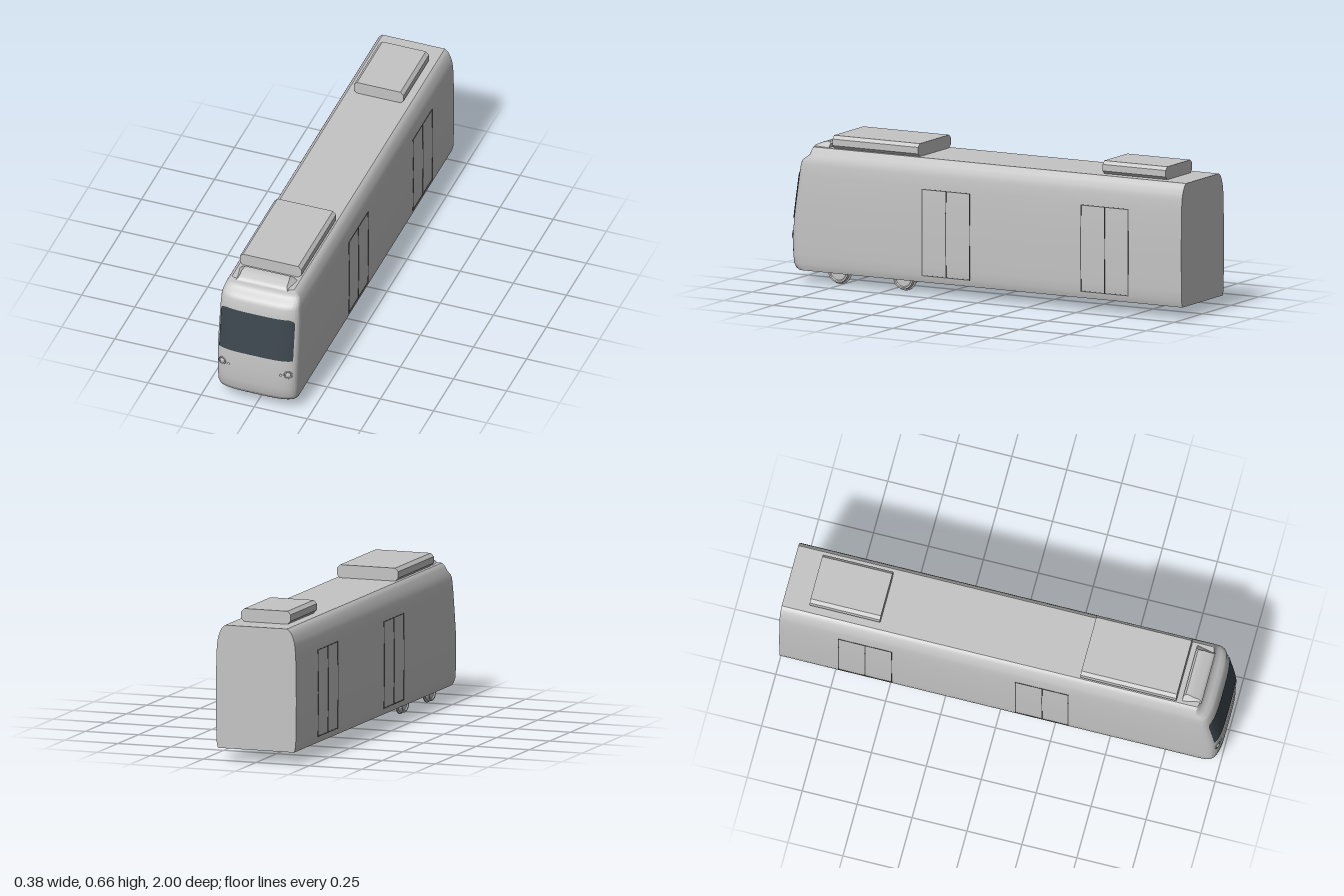
import * as THREE from 'three';
import { toCreasedNormals } from 'three/addons/utils/BufferGeometryUtils.js';

const bodyGrey = new THREE.MeshStandardMaterial({ color: 0xc4c4c4, name: 'body grey' });
const glass = new THREE.MeshStandardMaterial({ color: 0x3c464d, name: 'dark glass', side: THREE.DoubleSide });
const seam = new THREE.MeshStandardMaterial({ color: 0x5c5c5c, name: 'seam grey' });

// Body rows: height, half width, nose z, depth of the rounded nose corner
const rows = [
  [0.055, 0.180, 0.976, 0.07], [0.065, 0.183, 0.988, 0.07], [0.085, 0.187, 0.996, 0.07],
  [0.13, 0.188, 1.0, 0.07], [0.2, 0.189, 1.0, 0.07], [0.28, 0.19, 0.995, 0.07],
  [0.38, 0.189, 0.982, 0.07], [0.485, 0.187, 0.968, 0.07], [0.53, 0.183, 0.96, 0.06],
  [0.548, 0.180, 0.951, 0.055], [0.56, 0.176, 0.932, 0.045], [0.572, 0.172, 0.914, 0.035],
  [0.588, 0.164, 0.906, 0.025], [0.598, 0.156, 0.903, 0.02], [0.605, 0.146, 0.9, 0.015],
];
const POWER = 3.5;

function rowAt(y) {
  let i = 0;
  while (i < rows.length - 2 && y > rows[i + 1][0]) i++;
  const t = (y - rows[i][0]) / (rows[i + 1][0] - rows[i][0]);
  return rows[i].map((v, k) => THREE.MathUtils.lerp(v, rows[i + 1][k], t));
}

// z of the nose surface at a given x and y
function noseZ(x, y) {
  const [, w, f, d] = rowAt(y);
  const u = Math.min(1, Math.abs(x) / w);
  return f - d + d * Math.pow(1 - Math.pow(u, POWER), 1 / POWER);
}

// Horizontal outlines stacked up, with floor and roof caps
function bodyGeometry() {
  const pos = [], index = [], steps = 48, n = steps + 3;
  for (const [y, w, f, d] of rows) {
    pos.push(-w, y, -1);
    for (let i = 0; i <= steps; i++) {
      const a = Math.PI * (1 - i / steps), c = Math.cos(a), s = Math.max(0, Math.sin(a));
      pos.push(w * Math.sign(c) * Math.abs(c) ** (2 / POWER), y, f - d + d * s ** (2 / POWER));
    }
    pos.push(w, y, -1);
  }
  const floor = pos.length / 3, roof = floor + 1, last = (rows.length - 1) * n;
  pos.push(0, rows[0][0], 0, 0, rows.at(-1)[0], 0);
  for (let j = 0; j < n; j++) {
    const k = (j + 1) % n;
    for (let i = 0; i < rows.length - 1; i++) {
      const a = i * n + j, b = i * n + k;
      index.push(a, b, b + n, a, b + n, a + n);
    }
    index.push(floor, k, j, roof, last + j, last + k);
  }
  const g = new THREE.BufferGeometry();
  g.setAttribute('position', new THREE.Float32BufferAttribute(pos, 3));
  g.setIndex(index);
  return toCreasedNormals(g, 0.6);
}

// Windscreen sheet that follows the nose, rounded at its top corners
function windscreenGeometry() {
  const g = new THREE.PlaneGeometry(2, 1, 40, 24), p = g.attributes.position;
  for (let i = 0; i < p.count; i++) {
    const y = 0.28 + (p.getY(i) + 0.5) * 0.207;
    const t = Math.max(0, (y - 0.463) / 0.024);
    const x = p.getX(i) * (0.174 - 0.026 * (1 - Math.sqrt(Math.max(0, 1 - t * t))));
    p.setXYZ(i, x, y, noseZ(x, y) + 0.004);
  }
  g.computeVertexNormals();
  return g;
}

export function createModel() {
  const model = new THREE.Group();
  const add = (name, geo, mat, x = 0, y = 0, z = 0, parent = model) => {
    const m = new THREE.Mesh(geo, mat);
    m.name = name;
    m.position.set(x, y, z);
    parent.add(m);
    return m;
  };

  add('body', bodyGeometry(), bodyGrey);
  add('windscreen', windscreenGeometry(), glass);

  // Roof units with chamfered long edges
  const roofUnit = (name, w, y0, y1, z0, z1) => {
    const c = 0.015, s = new THREE.Shape([
      [-w + c, y0], [w - c, y0], [w, y0 + c], [w, y1 - c],
      [w - c, y1], [-w + c, y1], [-w, y1 - c], [-w, y0 + c],
    ].map(([x, y]) => new THREE.Vector2(x, y)));
    add(name, new THREE.ExtrudeGeometry(s, { depth: z1 - z0, bevelEnabled: false }), bodyGrey, 0, 0, z0);
  };
  roofUnit('frontRoofUnit', 0.145, 0.604, 0.663, 0.36, 0.795);
  roofUnit('rearRoofUnit', 0.117, 0.604, 0.663, -0.88, -0.56);

  // Low fairing above the cab, narrower at its top and front
  const side = new THREE.Shape();
  side.moveTo(0.82, 0.6);
  side.lineTo(0.905, 0.6);
  side.quadraticCurveTo(0.9, 0.612, 0.875, 0.62);
  side.quadraticCurveTo(0.85, 0.631, 0.83, 0.629);
  side.lineTo(0.82, 0.62);
  const fairing = new THREE.ExtrudeGeometry(side, { depth: 2, steps: 12, bevelEnabled: false });
  fairing.translate(0, 0, -1).rotateY(-Math.PI / 2);
  const fp = fairing.attributes.position;
  for (let i = 0; i < fp.count; i++) {
    const y = fp.getY(i), z = fp.getZ(i);
    fp.setX(i, fp.getX(i) * (0.14 - (y - 0.6) * 1.1 - Math.max(0, z - 0.86) * 0.4));
  }
  add('cabFairing', toCreasedNormals(fairing, 0.6), bodyGrey);

  // Door seams on both sides
  for (const s of [-1, 1]) {
    const doors = new THREE.Group();
    doors.name = s > 0 ? 'leftDoors' : 'rightDoors';
    model.add(doors);
    for (const mid of [0.195, -0.61]) {
      for (const dz of [-0.12, 0, 0.12])
        for (let k = 0; k < 4; k++) {
          const y = 0.085 + (k + 0.5) * 0.0965;
          add('doorSeam', new THREE.BoxGeometry(0.004, 0.0975, 0.004), seam,
            s * (rowAt(y)[1] - 0.0005), y, mid + dz, doors);
        }
      for (const y of [0.085, 0.471])
        add('doorSeam', new THREE.BoxGeometry(0.004, 0.004, 0.244), seam,
          s * (rowAt(y)[1] - 0.0005), y, mid, doors);
    }
  }

  // Lamps: a ring and a shallow dome, with a small lamp beside it
  for (const s of [-1, 1]) {
    const z = noseZ(0.155, 0.207), lamp = new THREE.Group();
    lamp.name = s > 0 ? 'leftHeadlight' : 'rightHeadlight';
    lamp.position.set(s * 0.155, 0.207, z);
    lamp.rotation.y = s * 0.3;
    model.add(lamp);
    add('lampRing', new THREE.TorusGeometry(0.0175, 0.0025, 8, 24), bodyGrey, 0, 0, 0, lamp);
    add('lampDome', new THREE.SphereGeometry(0.012, 20, 12), bodyGrey, 0, 0, 0, lamp).scale.z = 0.5;
    add('smallLamp', new THREE.SphereGeometry(0.006, 16, 10), bodyGrey,
      s * 0.123, 0.203, noseZ(0.123, 0.203)).scale.z = 0.6;
  }

  // Flanged wheels on thin axles
  const wheelGeo = new THREE.LatheGeometry([
    [0, -0.014], [0.055, -0.014], [0.058, -0.01], [0.058, -0.007], [0.051, -0.003],
    [0.049, 0.014], [0.042, 0.014], [0.038, 0.009], [0, 0.009],
  ].map(([r, h]) => new THREE.Vector2(r, h)), 32);
  const wheel = toCreasedNormals(wheelGeo, 0.5).rotateZ(-Math.PI / 2);
  for (const z of [0.765, 0.435]) {
    for (const s of [-1, 1])
      add('wheel', wheel, bodyGrey, s * 0.136, 0.058, z).rotation.y = s > 0 ? 0 : Math.PI;
    add('axle', new THREE.CylinderGeometry(0.007, 0.007, 0.27, 12), bodyGrey, 0, 0.058, z).rotation.z = Math.PI / 2;
  }
  return model;
}
